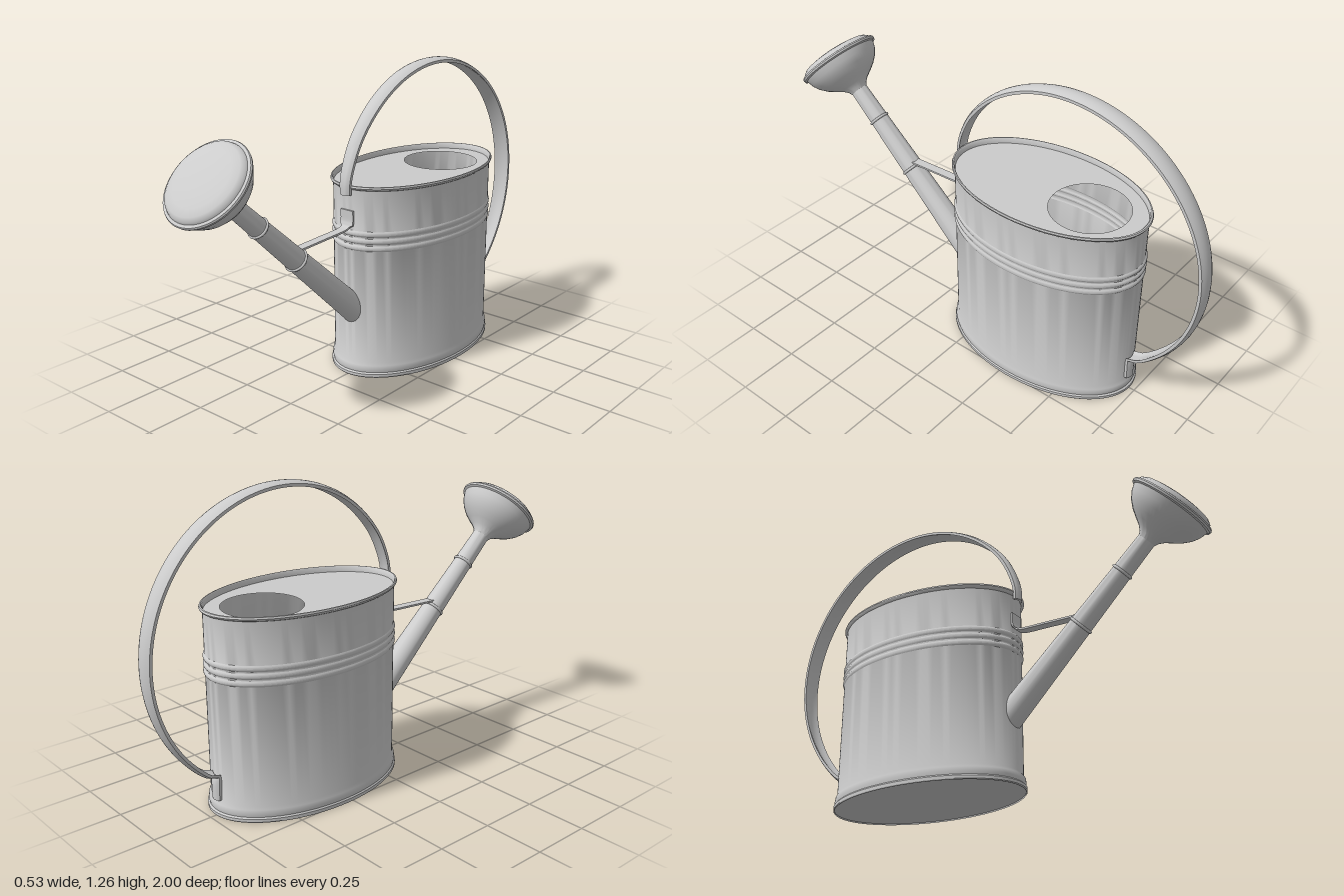
import * as THREE from 'three';
import { toCreasedNormals } from 'three/addons/utils/BufferGeometryUtils.js';

const metal = new THREE.MeshStandardMaterial({ color: 0xcccccc, side: THREE.DoubleSide });
const BODY_Z = -0.2825, OVAL = 0.6;

function add(parent, name, geometry) {
  const mesh = new THREE.Mesh(geometry, metal);
  mesh.name = name;
  parent.add(mesh);
  return mesh;
}

// Lathe from [radius, height] pairs, keeping hard edges
function turned(profile, segments = 64) {
  const pts = profile.map(([r, y]) => new THREE.Vector2(r, y));
  return toCreasedNormals(new THREE.LatheGeometry(pts, segments), 0.7);
}

// Sheet strip swept along [z, y] points; its edges lift by "dip" on the outer side
function strap(points, steps, halfWidth, thickness, dip) {
  const curve = new THREE.CatmullRomCurve3(
    points.map(([z, y]) => new THREE.Vector3(0, y, z)), false, 'centripetal');
  const across = 6, ring = 2 * (across + 1), pos = [], idx = [];
  for (let i = 0; i <= steps; i++) {
    const t = i / steps, p = curve.getPointAt(t), d = curve.getTangentAt(t), w = halfWidth(t);
    for (let j = 0; j < ring; j++) {
      const outer = j <= across;
      const u = 2 * (outer ? j : ring - 1 - j) / across - 1;
      const h = (outer ? 0.5 : -0.5) * thickness + dip * (u * u - 0.5);
      pos.push(u * w, p.y + d.z * -h * -1, p.z - d.y * h);
    }
  }
  for (let i = 0; i < steps; i++) {
    for (let j = 0; j < ring; j++) {
      const a = i * ring + j, b = i * ring + (j + 1) % ring;
      idx.push(a, a + ring, b, b, a + ring, b + ring);
    }
  }
  for (const s of [0, steps * ring]) {
    for (let j = 0; j < across; j++) {
      const a = s + j, b = s + j + 1, c = s + ring - 1 - j, e = c - 1;
      if (s) idx.push(a, c, b, b, c, e);
      else idx.push(a, b, c, b, e, c);
    }
  }
  const g = new THREE.BufferGeometry();
  g.setAttribute('position', new THREE.Float32BufferAttribute(pos, 3));
  g.setIndex(idx);
  return toCreasedNormals(g, 0.7);
}

function createModel() {
  const model = new THREE.Group();
  model.name = 'wateringCan';

  // Oval body: flared foot, three beads, rolled rim
  const wall = 0.43;
  const profile = [[0, 0.006], [0.44, 0.006], [0.441, 0], [0.445, 0.004], [0.445, 0.016],
    [0.438, 0.022], [0.441, 0.035], [0.438, 0.052], [wall, 0.064]];
  for (const y of [0.565, 0.595, 0.625]) {
    for (let k = 0; k <= 6; k++) {
      profile.push([wall + 0.007 * Math.sin(Math.PI * k / 6), y - 0.012 + 0.004 * k]);
    }
  }
  profile.push([wall, 0.806], [0.44, 0.81], [0.444, 0.817], [0.441, 0.824], [0.435, 0.825],
    [0.43, 0.82], [0.428, 0.8]);
  const body = add(model, 'body', turned(profile, 96));
  body.scale.x = OVAL;
  body.position.z = BODY_Z;

  // Recessed top plate with round filling hole
  const plate = new THREE.Shape();
  plate.absellipse(0, 0, 0.43 * OVAL, 0.43, 0, Math.PI * 2);
  const hole = new THREE.Path();
  hole.absarc(0, 0.193, 0.16, 0, Math.PI * 2, true);
  plate.holes.push(hole);
  const top = add(model, 'topPlate', new THREE.ShapeGeometry(plate, 48));
  top.rotation.x = -Math.PI / 2;
  top.position.set(0, 0.8, BODY_Z);

  // Spout: tapered tube with two collars
  const spout = new THREE.Group();
  spout.name = 'spout';
  spout.position.set(0, 0.268, 0.1);
  spout.rotation.x = Math.atan2(0.625, 0.578);
  model.add(spout);
  add(spout, 'spoutTube', turned([[0.057, 0], [0.046, 0.478], [0.04, 0.74], [0.036, 0.93]], 32));
  for (const [at, r] of [[0.478, 0.046], [0.738, 0.04]]) {
    const collar = add(spout, 'spoutCollar', new THREE.TorusGeometry(r, 0.006, 8, 32));
    collar.rotation.x = Math.PI / 2;
    collar.position.y = at;
  }

  // Sprinkler rose: bowl, rim and domed face
  const rose = add(model, 'rose', turned([[0.036, -0.165], [0.045, -0.147], [0.062, -0.13],
    [0.09, -0.112], [0.118, -0.092], [0.143, -0.067], [0.16, -0.04], [0.169, -0.012], [0.179, -0.008],
    [0.181, 0], [0.178, 0.006], [0.167, 0.008], [0.163, 0.018], [0.15, 0.027],
    [0.12, 0.034], [0.06, 0.039], [0, 0.04]]));
  rose.position.set(0, 0.985, 0.869);
  rose.rotation.x = Math.PI / 4;

  // Hooped carrying handle, wide at the top and narrow at both ends
  const hoop = [[0.166, 0.785], [0.165, 0.835], [0.145, 0.905]];
  for (let a = 35; a <= 232; a += 197 / 16) {
    const r = THREE.MathUtils.degToRad(a);
    hoop.push([-0.392 + 0.598 * Math.cos(r), 0.655 + 0.598 * Math.sin(r)]);
  }
  hoop.push([-0.718, 0.168], [-0.72, 0.15], [-0.72, 0.07]);
  add(model, 'handle', strap(hoop, 120,
    t => 0.024 + 0.016 * Math.pow(Math.max(0, Math.sin(Math.PI * t)), 0.7), 0.012, 0.01));

  // Brace between body and spout
  add(model, 'spoutBrace', strap([[0.152, 0.72], [0.153, 0.67], [0.16, 0.653], [0.18, 0.645],
    [0.3, 0.638], [0.44, 0.632]], 40, t => (t < 0.18 ? 0.032 : 0.02), 0.008, 0));

  return model;
}

export { createModel };
